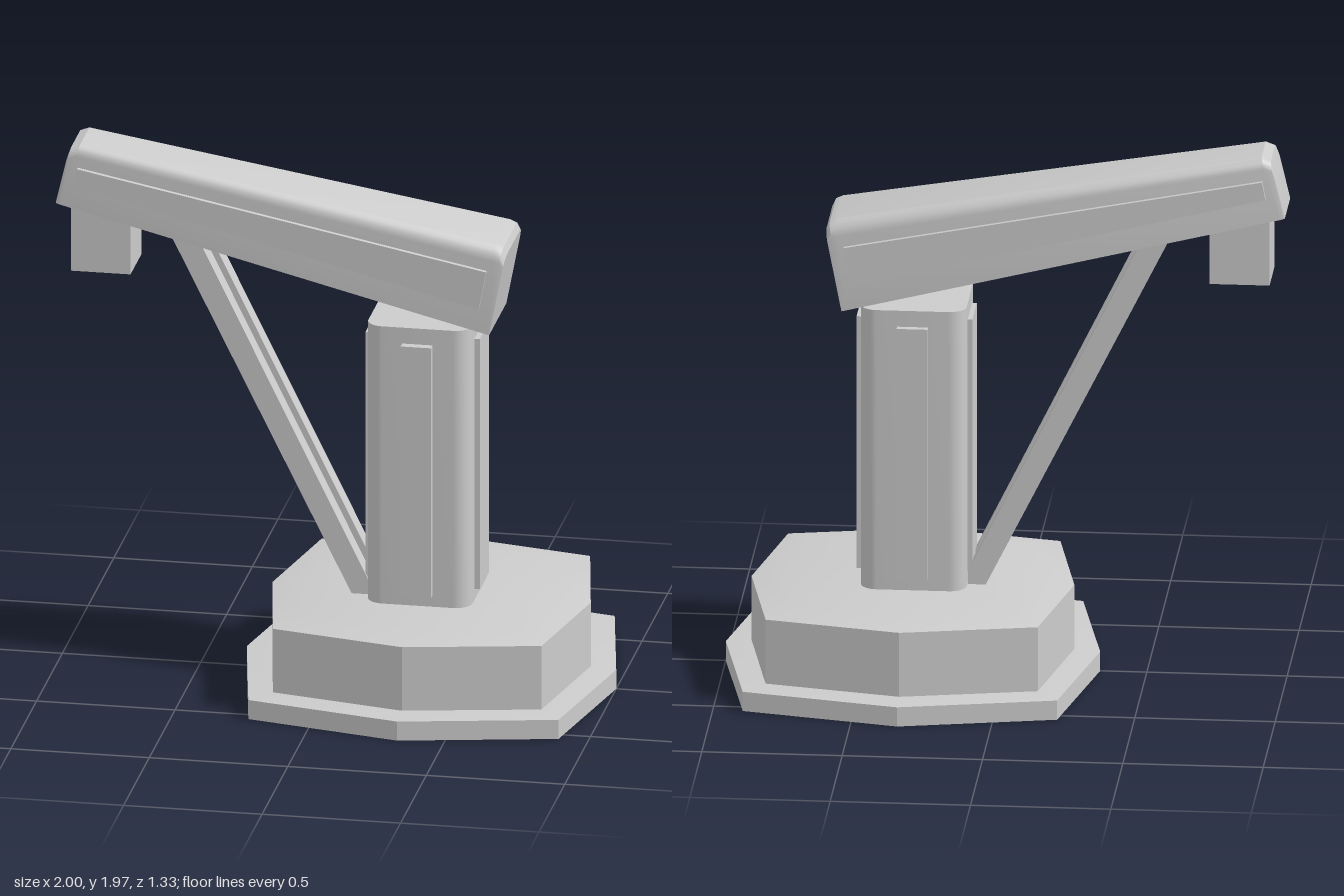
import * as THREE from 'three';
import { toCreasedNormals } from 'three/addons/utils/BufferGeometryUtils.js';

const material = new THREE.MeshStandardMaterial({ color: 0xcccccc });
const CZ = 0.016; // depth centre of the column and arm

function add(parent, name, geometry) {
  const mesh = new THREE.Mesh(geometry, material);
  mesh.name = name;
  parent.add(mesh);
  return mesh;
}

function box(parent, name, x0, x1, y0, y1, z0, z1) {
  const mesh = add(parent, name, new THREE.BoxGeometry(x1 - x0, y1 - y0, z1 - z0));
  mesh.position.set((x0 + x1) / 2, (y0 + y1) / 2, (z0 + z1) / 2);
  return mesh;
}

// Closed skin over convex rings, each counter-clockwise about the travel direction
function loft(rings) {
  const pos = [];
  const tri = (a, b, c) => pos.push(...a, ...b, ...c);
  const n = rings[0].length;
  for (let i = 0; i + 1 < rings.length; i++) {
    for (let j = 0; j < n; j++) {
      const k = (j + 1) % n;
      tri(rings[i][j], rings[i][k], rings[i + 1][k]);
      tri(rings[i][j], rings[i + 1][k], rings[i + 1][j]);
    }
  }
  const first = rings[0], last = rings[rings.length - 1];
  for (let j = 1; j + 1 < n; j++) {
    tri(first[0], first[j + 1], first[j]);
    tri(last[0], last[j], last[j + 1]);
  }
  const geometry = new THREE.BufferGeometry();
  geometry.setAttribute('position', new THREE.Float32BufferAttribute(pos, 3));
  return toCreasedNormals(geometry, 0.35);
}

// Irregular octagon: r reaches the axes, (cx, cz) are the diagonal corners
function octagon(y, r, cx, cz) {
  return [[0, r], [cx, cz], [r, 0], [cx, -cz], [0, -r], [-cx, -cz], [-r, 0], [-cx, cz]]
    .map(([x, z]) => [x + 0.333, y, z]);
}

// Cross-section of the arm between a bottom and a top point, upper corners rounded
function armSection([bx, by], [tx, ty], half, radius, steps = 6) {
  const h = Math.hypot(tx - bx, ty - by);
  const outline = [[0, -half]];
  for (const side of [-1, 1]) {
    for (let i = 0; i <= steps; i++) {
      const a = (side < 0 ? i : steps - i) / steps * Math.PI / 2;
      outline.push([h - radius + radius * Math.sin(a), side * (half - radius + radius * Math.cos(a))]);
    }
  }
  outline.push([0, half]);
  return outline.map(([u, z]) => [bx + (tx - bx) * u / h, by + (ty - by) * u / h, CZ + z]);
}

// Plain rectangular cross-section
function rectSection([bx, by], [tx, ty], half) {
  return [[bx, by, CZ - half], [tx, ty, CZ - half], [tx, ty, CZ + half], [bx, by, CZ + half]];
}

function roundedSquare(half, r) {
  const s = new THREE.Shape();
  const c = half - r;
  s.absarc(c, c, r, 0, Math.PI / 2);
  s.absarc(-c, c, r, Math.PI / 2, Math.PI);
  s.absarc(-c, -c, r, Math.PI, Math.PI * 1.5);
  s.absarc(c, -c, r, Math.PI * 1.5, Math.PI * 2);
  return s;
}

function square(Type, half) {
  return new Type([[-half, -half], [half, -half], [half, half], [-half, half]]
    .map(([x, y]) => new THREE.Vector2(x, y)));
}

export function createModel() {
  const model = new THREE.Group();
  model.name = 'craneArm';

  // Stepped octagonal base
  add(model, 'basePlate', loft([
    octagon(0, 0.667, 0.56, 0.545),
    octagon(0.072, 0.667, 0.56, 0.545),
    octagon(0.08, 0.575, 0.485, 0.472),
  ]));
  add(model, 'baseBody', loft([
    octagon(0.07, 0.575, 0.485, 0.472),
    octagon(0.32, 0.575, 0.485, 0.472),
    octagon(0.342, 0.455, 0.39, 0.372),
  ]));

  // Rounded column with a raised panel on each face
  const columnGeometry = new THREE.ExtrudeGeometry(roundedSquare(0.188, 0.06),
    { depth: 1.06, bevelEnabled: false, curveSegments: 6 });
  columnGeometry.rotateX(-Math.PI / 2);
  const column = add(model, 'column', toCreasedNormals(columnGeometry, 0.35));
  column.position.set(0.32, 0.33, CZ);
  box(model, 'columnPanelsFrontBack', 0.265, 0.375, 0.385, 1.33, -0.197, 0.235);
  box(model, 'columnPanelsSides', 0.115, 0.528, 0.385, 1.33, -0.07, 0.11);

  // Tapered arm with rounded top edges and ends
  add(model, 'arm', loft([
    armSection([-1, 1.75], [-0.958, 1.93], 0.112, 0.03),
    armSection([-0.993, 1.748], [-0.948, 1.957], 0.115, 0.035),
    armSection([-0.985, 1.746], [-0.915, 1.97], 0.117, 0.04),
    armSection([0.56, 1.379], [0.595, 1.71], 0.17, 0.055),
    armSection([0.568, 1.377], [0.62, 1.697], 0.17, 0.05),
    armSection([0.575, 1.375], [0.632, 1.67], 0.169, 0.045),
  ]));

  // Raised strips on both arm sides, made as one block through the arm
  add(model, 'armPanels', loft([
    rectSection([-0.932, 1.825], [-0.92, 1.89], 0.134),
    rectSection([0.54, 1.475], [0.567, 1.618], 0.186),
  ]));

  // Twin diagonal struts
  const strutShape = new THREE.Shape([
    [0.07, 0.335], [0.13, 0.335], [0.13, 0.39], [-0.495, 1.66], [-0.595, 1.67],
  ].map(([x, y]) => new THREE.Vector2(x, y)));
  for (const side of [-1, 1]) {
    const strut = add(model, side > 0 ? 'frontStrut' : 'backStrut',
      new THREE.ExtrudeGeometry(strutShape, { depth: 0.07, bevelEnabled: false }));
    strut.position.z = CZ + side * 0.068 - 0.035;
  }

  // Hollow square head under the arm tip
  const headShape = square(THREE.Shape, 0.107);
  headShape.holes.push(square(THREE.Path, 0.077));
  const headGeometry = new THREE.ExtrudeGeometry(headShape, { depth: 0.27, bevelEnabled: false });
  headGeometry.rotateX(-Math.PI / 2);
  add(model, 'head', headGeometry).position.set(-0.838, 1.495, CZ);

  return model;
}
